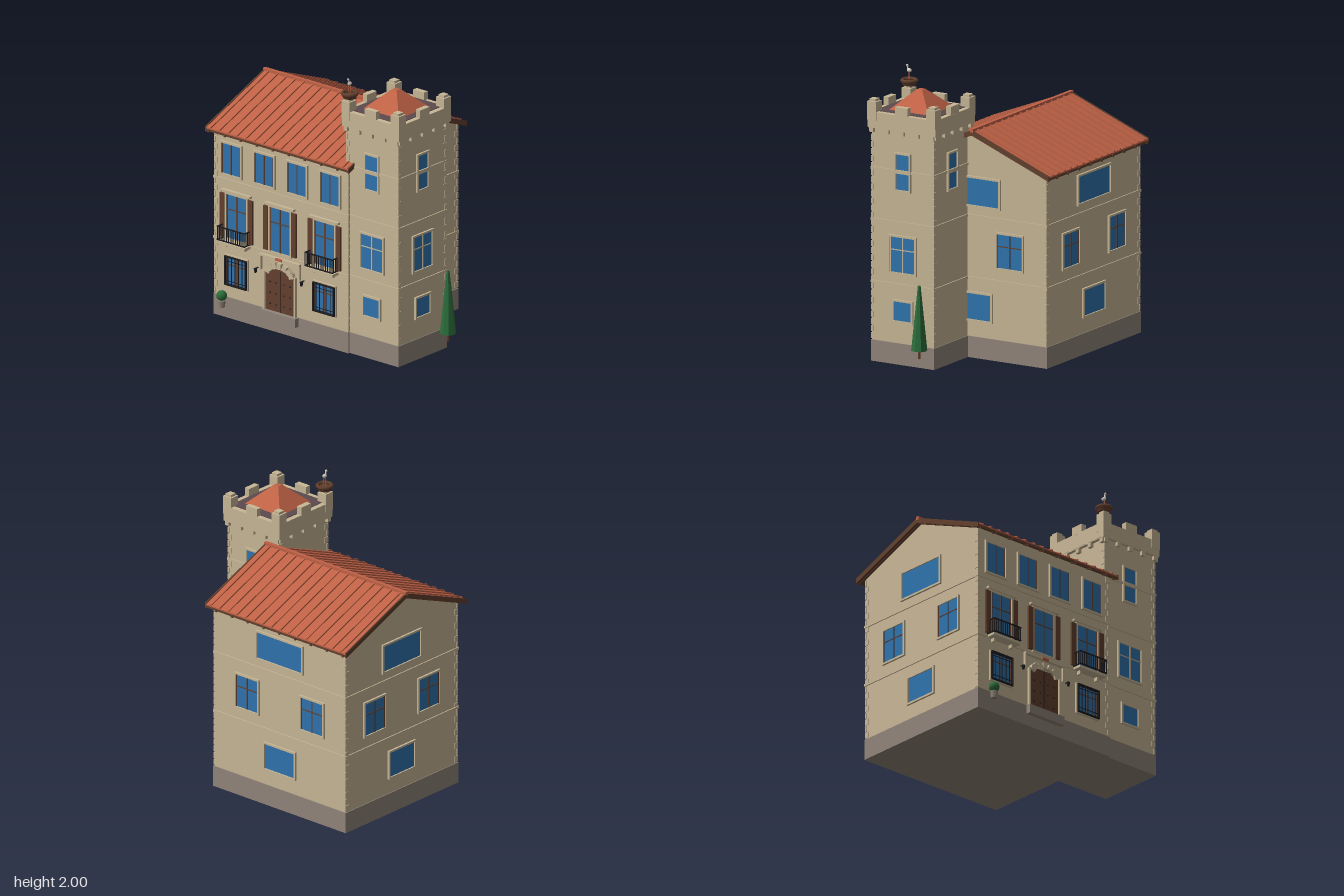
import * as THREE from 'three';

const mat = (name, color) => Object.assign(new THREE.MeshStandardMaterial({ color }), { name });

export function createModel() {
  const wall = mat('sandstone', 0xc8b797), stone = mat('plinthStone', 0x91857a), tile = mat('roofTile', 0xc06246),
    wood = mat('brownWood', 0x63402e), glass = mat('blueGlass', 0x2f74ae), iron = mat('blackIron', 0x1c1c20),
    leaf = mat('greenLeaf', 0x2c6e3c), deck = mat('towerDeck', 0x5c4a4e), white = mat('paleFeather', 0xd8d0c2);
  const root = new THREE.Group();

  const add = (parent, name, geo, m, x = 0, y = 0, z = 0) => {
    const mesh = new THREE.Mesh(geo, m);
    mesh.name = name;
    mesh.position.set(x, y, z);
    parent.add(mesh);
    return mesh;
  };
  // box centred on a point
  const box = (p, name, m, x, y, z, w, h, d) => add(p, name, new THREE.BoxGeometry(w, h, d), m, x, y, z);
  // box from limits
  const span = (p, name, m, x0, x1, y0, y1, z0, z1) =>
    box(p, name, m, (x0 + x1) / 2, (y0 + y1) / 2, (z0 + z1) / 2, x1 - x0, y1 - y0, z1 - z0);
  // [z, y] outline swept along x
  const prism = (name, m, pts, x0, x1) => {
    const s = new THREE.Shape(pts.map(([z, y]) => new THREE.Vector2(-z, y)));
    const g = new THREE.ExtrudeGeometry(s, { depth: x1 - x0, bevelEnabled: false }).rotateY(Math.PI / 2);
    return add(root, name, g, m, x0, 0, 0);
  };
  const group = (name, x = 0, y = 0, z = 0, ry = 0, parent = root) => {
    const g = new THREE.Group();
    g.name = name;
    g.position.set(x, y, z);
    g.rotation.y = ry;
    parent.add(g);
    return g;
  };

  const M = { x0: -0.866, x1: 0.338, z0: -0.592, z1: 0.56 };
  const T = { x0: 0.312, x1: 0.776, z0: 0.045, z1: 0.545 };
  const ridge = -0.015, cx = 0.543, cz = 0.293;

  // walls, plinth and string courses
  prism('houseWalls', wall, [[M.z1, 0.1], [M.z1, 1.36], [ridge, 1.59], [M.z0, 1.36], [M.z0, 0.1]], M.x0, M.x1);
  span(root, 'towerWalls', wall, T.x0, T.x1, 0.1, 1.66, T.z0, T.z1);
  const ring = (name, m, b, y0, y1, o) => span(root, name, m, b.x0 - o, b.x1 + o, y0, y1, b.z0 - o, b.z1 + o);
  ring('housePlinth', stone, M, 0, 0.15, 0.006);
  ring('towerPlinth', stone, T, 0, 0.15, 0.006);
  for (const y of [0.563, 1.003]) {
    ring('houseStringCourse', wall, M, y - 0.009, y + 0.009, 0.008);
    ring('towerStringCourse', wall, T, y - 0.009, y + 0.009, 0.008);
  }
  ring('towerStringCourse', wall, T, 1.355, 1.373, 0.008);

  // corner quoins, long and short by turns
  const quoins = (b, top) => {
    for (const x of [b.x0, b.x1]) for (const z of [b.z0, b.z1]) {
      const sx = x === b.x0 ? 1 : -1, sz = z === b.z0 ? 1 : -1;
      for (let i = 0, y = 0.18; y < top; i++, y += 0.05) {
        const a = i % 2 ? 0.034 : 0.016, c = i % 2 ? 0.016 : 0.034;
        box(root, 'quoin', wall, x + sx * (a / 2 - 0.004), y, z + sz * (c / 2 - 0.004), a, 0.042, c);
      }
    }
  };
  quoins(M, 1.34);
  quoins(T, 1.6);

  // a place on a wall: local +z points outward
  const onWall = (b, side, u, y, name) => side === 'front' ? group(name, u, y, b.z1)
    : side === 'back' ? group(name, u, y, b.z0, Math.PI)
    : side === 'right' ? group(name, b.x1, y, u, Math.PI / 2) : group(name, b.x0, y, u, -Math.PI / 2);

  // window: glass plate, raised stone frame and glazing bars
  const windowAt = (b, side, u, y0, y1, w, { bars = null, cols = 2, rows = [], name = 'window' } = {}) => {
    const h = y1 - y0, g = onWall(b, side, u, (y0 + y1) / 2, name), f = 0.014;
    box(g, 'glass', glass, 0, 0, 0.002, w, h, 0.006);
    for (const s of [-1, 1]) {
      box(g, 'frameSide', wall, s * (w + f) / 2, 0, 0.007, f, h + 2 * f, 0.016);
      box(g, 'frameRail', wall, 0, s * (h + f) / 2, 0.007, w, f, 0.016);
    }
    if (bars) {
      for (let i = 1; i < cols; i++) box(g, 'mullion', bars, w * (i / cols - 0.5), 0, 0.006, 0.009, h, 0.006);
      for (const s of [-1, 1]) box(g, 'sashSide', bars, s * (w / 2 - 0.003), 0, 0.006, 0.006, h, 0.006);
      for (const r of rows) box(g, 'transom', bars, 0, h * (r - 0.5), 0.006, w, 0.007, 0.006);
    }
    return g;
  };

  // front windows
  for (const x of [-0.71, -0.414, -0.118, 0.18]) windowAt(M, 'front', x, 1.05, 1.27, 0.17, { bars: wood });
  for (const x of [-0.66, -0.268, 0.132]) {
    const g = windowAt(M, 'front', x, 0.585, 0.905, 0.18, { bars: wood, rows: [0.66], name: 'frenchWindow' });
    for (const s of [-1, 1]) box(g, 'shutter', wood, s * 0.126, 0, 0.01, 0.042, 0.32, 0.016);
    box(g, 'lintel', wall, 0, 0.183, 0.012, 0.26, 0.016, 0.026);
    if (x === -0.268) continue;
    // balcony
    const p = group('balcony', x, 0.57, M.z1);
    box(p, 'slab', wall, 0, -0.008, 0.036, 0.25, 0.018, 0.072);
    for (const s of [-1, 1]) {
      box(p, 'bracket', wall, s * 0.08, -0.03, 0.015, 0.016, 0.028, 0.03);
      for (const y of [0.012, 0.108]) box(p, 'sideRail', iron, s * 0.121, y, 0.036, 0.007, 0.007, 0.072);
      for (const z of [0.018, 0.036, 0.054]) box(p, 'sideBaluster', iron, s * 0.121, 0.06, z, 0.004, 0.1, 0.004);
    }
    for (const y of [0.012, 0.108]) box(p, 'frontRail', iron, 0, y, 0.071, 0.248, 0.008, 0.008);
    for (let i = 0; i <= 12; i++) box(p, 'baluster', iron, -0.121 + i * 0.242 / 12, 0.06, 0.071, 0.005, 0.1, 0.005);
  }
  for (const x of [-0.662, 0.133]) {
    const g = windowAt(M, 'front', x, 0.25, 0.45, 0.18, { bars: wood, rows: [0.7], name: 'grilledWindow' });
    for (const s of [-1, 1]) {
      box(g, 'grilleSide', iron, s * 0.094, 0, 0.016, 0.009, 0.212, 0.024);
      box(g, 'grilleRail', iron, 0, s * 0.102, 0.016, 0.196, 0.009, 0.024);
      box(g, 'grilleBar', iron, 0, s * 0.072, 0.024, 0.18, 0.004, 0.004);
    }
    for (let i = -2; i <= 2; i++) box(g, 'grilleBar', iron, i * 0.032, 0, 0.024, 0.004, 0.2, 0.004);
  }
  // side and back windows
  for (const [side, c, off, k] of [['right', -0.02, 0.278, 1], ['left', -0.02, 0.278, 1], ['back', -0.266, 0.298, 1.07]]) {
    windowAt(M, side, c, 1.08, 1.27, 0.38 * k);
    for (const s of [-1, 1]) windowAt(M, side, c + s * off, 0.662, 0.9, 0.2, { bars: wood, rows: [0.64] });
    windowAt(M, side, c, 0.272, 0.455, 0.25 * k);
  }
  // tower windows
  for (const [side, u] of [['front', cx], ['right', cz], ['back', cx]]) {
    windowAt(T, side, u, 1.236, 1.35, 0.105);
    windowAt(T, side, u, 1.376, 1.485, 0.105);
    if (side === 'back') continue;
    windowAt(T, side, u, 0.652, 0.9, 0.2, { bars: wall, rows: [0.64] });
    windowAt(T, side, u, 0.31, 0.445, 0.14);
  }

  // entrance
  const e = group('entrance', -0.267, 0, M.z1);
  const ds = new THREE.Shape([[-0.13, 0.15], [0.13, 0.15], [0.13, 0.43], [0.1, 0.457], [-0.1, 0.457], [-0.13, 0.43]]
    .map(([x, y]) => new THREE.Vector2(x, y)));
  add(e, 'door', new THREE.ExtrudeGeometry(ds, { depth: 0.008, bevelEnabled: false }), wood);
  box(e, 'doorGap', iron, 0, 0.3, 0.009, 0.003, 0.3, 0.004);
  for (const x of [-0.09, -0.035, 0.035, 0.09]) for (const y of [0.2, 0.28, 0.36])
    box(e, 'doorStud', iron, x, y, 0.01, 0.008, 0.008, 0.006);
  for (let i = 0; i < 7; i++) {
    const a = Math.PI * (0.12 + 0.76 * i / 6);
    const v = box(e, 'archStone', wall, 0.115 * Math.cos(a), 0.415 + 0.075 * Math.sin(a), 0.013, 0.042, 0.036, 0.026);
    v.rotation.z = a;
  }
  for (const s of [-1, 1]) {
    box(e, 'doorJamb', wall, s * 0.137, 0.295, 0.01, 0.014, 0.29, 0.024);
    box(e, 'hoodDrop', wall, s * 0.175, 0.485, 0.008, 0.012, 0.11, 0.02);
    const l = group('lantern', s * 0.207, 0.42, 0, 0, e);
    add(l, 'lamp', new THREE.CylinderGeometry(0.013, 0.008, 0.03, 6), iron, 0, -0.004, 0.028);
    box(l, 'lampArm', iron, 0, 0.012, 0.015, 0.006, 0.006, 0.03);
  }
  box(e, 'hoodMould', wall, 0, 0.54, 0.012, 0.362, 0.014, 0.026);
  box(e, 'doorPlaque', tile, 0, 0.54, 0.024, 0.058, 0.018, 0.01);
  span(e, 'doorStep', stone, -0.16, 0.16, 0.085, 0.15, -0.01, 0.042);

  // gabled roof: boards, tiles, ribs, verges and rafter ends on both slopes
  const rx0 = -0.908, rx1 = 0.38;
  for (const eave of [0.608, -0.638]) {
    const band = (name, m, a, b, x0, x1, ext = 0) => prism(name, m,
      [[eave + Math.sign(eave) * ext, 1.34 + a], [ridge, 1.585 + a], [ridge, 1.585 + b], [eave + Math.sign(eave) * ext, 1.34 + b]], x0, x1);
    band('roofBoards', wood, 0, 0.016, rx0, rx1);
    band('roofTiles', tile, 0.016, 0.026, rx0, rx1);
    for (let i = 0; i < 16; i++) {
      const x = rx0 + 0.045 + i * 0.0795;
      band('roofRib', tile, 0.024, 0.036, x - 0.006, x + 0.006);
    }
    for (let i = 0; i < 9; i++) {
      const x = -0.88 + i * 0.145;
      band('rafter', wood, -0.006, 0.012, x - 0.008, x + 0.008, 0.005);
    }
    for (const x of [rx0 - 0.004, rx1 - 0.007]) band('vergeBoard', wood, -0.006, 0.031, x, x + 0.011);
  }
  span(root, 'ridgeCap', tile, rx0 - 0.004, rx1 + 0.005, 1.6, 1.626, ridge - 0.013, ridge + 0.013);

  // tower parapet with corbels and battlements
  const P = { x0: 0.285, x1: 0.8, z0: 0.018, z1: 0.566 }, t = 0.038;
  for (const z of [P.z0, P.z1 - t]) span(root, 'parapet', wall, P.x0, P.x1, 1.656, 1.765, z, z + t);
  for (const x of [P.x0, P.x1 - t]) span(root, 'parapet', wall, x, x + t, 1.656, 1.765, P.z0, P.z1);
  span(root, 'towerDeck', deck, P.x0 + t, P.x1 - t, 1.66, 1.769, P.z0 + t, P.z1 - t);
  span(root, 'parapetSoffit', wall, P.x0 + 0.002, P.x1 - 0.002, 1.65, 1.668, P.z0 + 0.002, P.z1 - 0.002);
  for (let i = -2; i <= 2; i++) for (const s of [-1, 1]) {
    box(root, 'corbel', wall, cx + i * 0.113, 1.638, cz + s * 0.252, 0.032, 0.036, 0.04);
    box(root, 'corbel', wall, cx + s * 0.235, 1.638, cz + i * 0.122, 0.04, 0.036, 0.032);
  }
  for (const s of [-1, 1]) {
    box(root, 'merlon', wall, cx, 1.79, cz + s * 0.254, 0.1, 0.065, t + 0.002);
    box(root, 'merlon', wall, cx + s * 0.239, 1.79, cz, t + 0.002, 0.065, 0.1);
    for (const q of [-1, 1]) {
      const x = cx + s * 0.222, z = cz + q * 0.239;
      box(root, 'cornerMerlon', wall, x, 1.77, z, 0.074, 0.132, 0.074);
      box(root, 'merlonCap', wall, x, 1.844, z, 0.05, 0.018, 0.05);
    }
  }
  const pyr = new THREE.CylinderGeometry(0.03, 0.228, 0.135, 4).rotateY(Math.PI / 4).toNonIndexed();
  pyr.computeVertexNormals();
  add(root, 'towerRoof', pyr, tile, cx, 1.835, cz);

  // nest and bird
  const n = group('nest', 0.323, 1.853, 0.527);
  add(n, 'nestBowl', new THREE.CylinderGeometry(0.056, 0.045, 0.026, 10), wood, 0, 0.013, 0);
  add(n, 'nestRim', new THREE.TorusGeometry(0.05, 0.014, 5, 12).rotateX(Math.PI / 2), wood, 0, 0.032, 0);
  for (const s of [-1, 1]) box(n, 'birdLeg', tile, s * 0.006, 0.07, 0, 0.004, 0.06, 0.004);
  add(n, 'birdBody', new THREE.SphereGeometry(0.018, 8, 6).scale(0.75, 0.8, 1.1), white, 0, 0.104, 0);
  box(n, 'birdNeck', white, 0, 0.122, 0.012, 0.007, 0.03, 0.008);
  add(n, 'birdHead', new THREE.SphereGeometry(0.009, 8, 6), white, 0, 0.137, 0.016);
  box(n, 'birdBeak', iron, 0, 0.138, 0.034, 0.004, 0.005, 0.03);

  // garden plants
  const tree = group('cypress', 0.856, 0.085, 0.113);
  add(tree, 'trunk', new THREE.CylinderGeometry(0.011, 0.011, 0.07, 6), wood, 0, 0.035, 0);
  const crown = new THREE.CylinderGeometry(0.01, 0.057, 0.455, 8).toNonIndexed();
  crown.computeVertexNormals();
  add(tree, 'crown', crown, leaf, 0, 0.288, 0);
  const pot = group('pottedBush', -0.762, 0.085, 0.608);
  add(pot, 'pot', new THREE.CylinderGeometry(0.028, 0.022, 0.05, 8), stone, 0, 0.025, 0);
  add(pot, 'bush', new THREE.IcosahedronGeometry(0.038, 1), leaf, 0, 0.084, 0);
  return root;
}
